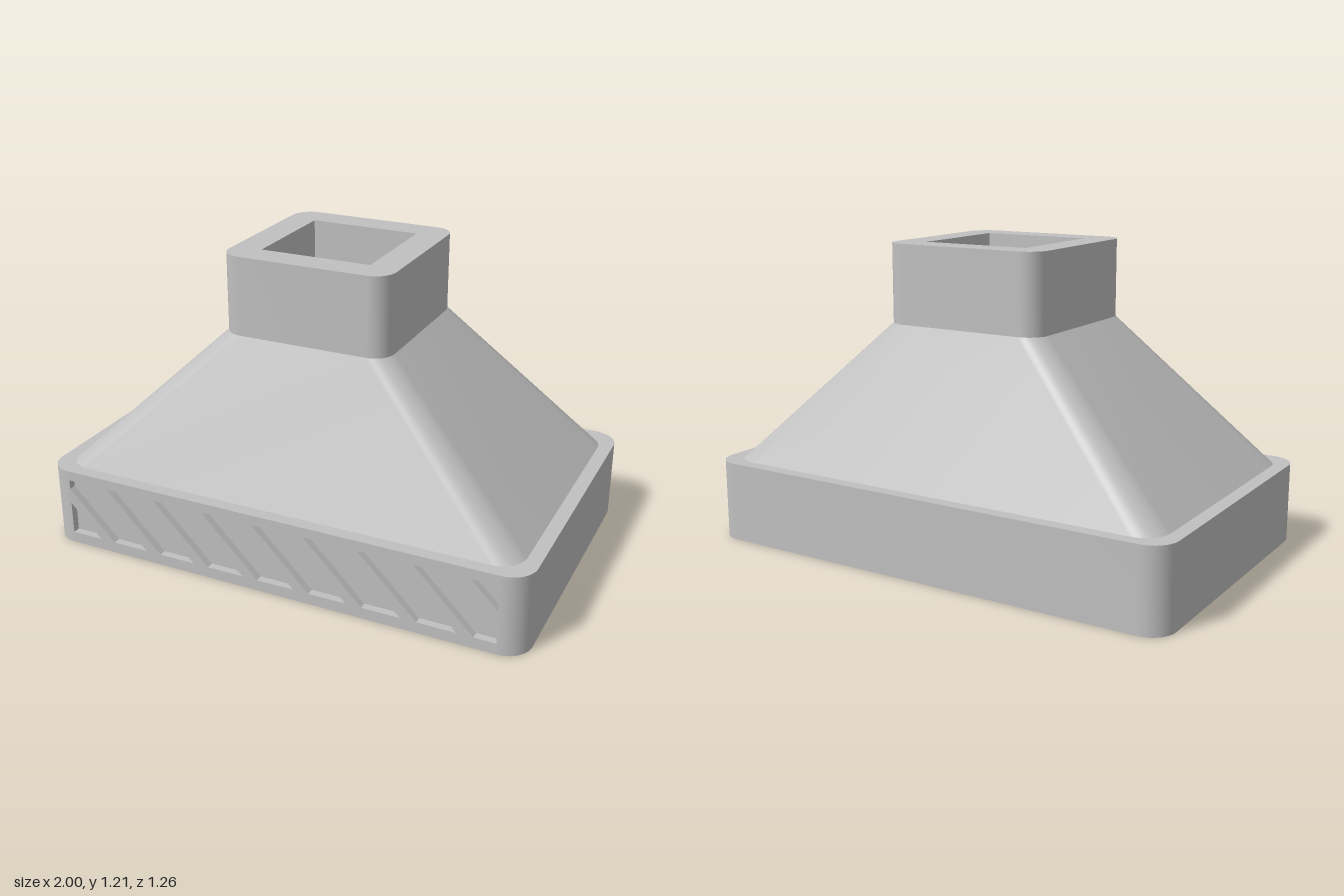
import * as THREE from 'three';
import { toCreasedNormals } from 'three/addons/utils/BufferGeometryUtils.js';

const BASE_H = 0.32, NECK_Y = 0.9, TOP_Y = 1.21;
const SLOT_DEPTH = 0.03, FRONT = 0.63;

// Rounded rectangle outline, counter-clockwise, starting at the front right corner
function outline(hx, hz, r, n = 10) {
  const pts = [];
  [[1, -1], [1, 1], [-1, 1], [-1, -1]].forEach(([sx, sy], c) => {
    for (let i = 0; i <= n; i++) {
      const a = (c - 1 + i / n) * Math.PI / 2;
      pts.push(new THREE.Vector2(sx * (hx - r) + r * Math.cos(a), sy * (hz - r) + r * Math.sin(a)));
    }
  });
  return pts;
}

// Extrude a floor-plan shape upwards
function extrudeUp(shape, y, height) {
  const g = new THREE.ExtrudeGeometry(shape, { depth: height, bevelEnabled: false });
  return toCreasedNormals(g.rotateX(-Math.PI / 2).translate(0, y, 0), 0.5);
}

// Straight-sided skin between two outlines, closed at the top
function loft(lower, y0, upper, y1) {
  const pos = [], idx = [], n = lower.length;
  lower.forEach(p => pos.push(p.x, y0, -p.y));
  upper.forEach(p => pos.push(p.x, y1, -p.y));
  pos.push(0, y1, 0);
  for (let i = 0; i < n; i++) {
    const j = (i + 1) % n;
    idx.push(i, j, n + j, i, n + j, n + i, 2 * n, n + i, n + j);
  }
  const g = new THREE.BufferGeometry();
  g.setAttribute('position', new THREE.Float32BufferAttribute(pos, 3));
  g.setIndex(idx);
  return toCreasedNormals(g.toNonIndexed(), 0.5);
}

// Cut a polygon at x = side * limit
function clip(pts, side, limit) {
  const out = [];
  pts.forEach((p, i) => {
    const q = pts[(i + 1) % pts.length];
    const dp = limit - side * p.x, dq = limit - side * q.x;
    if (dp >= 0) out.push(p);
    if (dp * dq < 0) out.push(p.clone().lerp(q, dp / (dp - dq)));
  });
  return out;
}

export function createModel() {
  const group = new THREE.Group();
  const grey = new THREE.MeshStandardMaterial({ color: 0xc0c0c0 });
  grey.name = 'light grey';
  const add = (name, geometry) => {
    const mesh = new THREE.Mesh(geometry, grey);
    mesh.name = name;
    group.add(mesh);
  };

  // Base rim, with a shallow front recess behind the grille
  const rim = outline(1, FRONT, 0.1);
  rim.push(new THREE.Vector2(-0.9, SLOT_DEPTH - FRONT), new THREE.Vector2(0.9, SLOT_DEPTH - FRONT));
  add('baseRim', extrudeUp(new THREE.Shape(rim), 0, BASE_H));

  // Front grille with diagonal slots
  const plate = new THREE.Shape([[-0.9, 0], [0.9, 0], [0.9, BASE_H], [-0.9, BASE_H]]
    .map(([x, y]) => new THREE.Vector2(x, y)));
  const lo = 0.045, hi = 0.28, slotWidth = 0.152, pitch = 0.216;
  for (let k = -2; k <= 7; k++) {
    const x = -0.719 + k * pitch, shift = hi - lo;
    let slot = [[x, hi], [x + shift, lo], [x + shift + slotWidth, lo], [x + slotWidth, hi]]
      .map(([px, py]) => new THREE.Vector2(px, py));
    slot = clip(clip(slot, 1, 0.897), -1, 0.897);
    if (slot.length > 2) plate.holes.push(new THREE.Path(slot));
  }
  const grille = new THREE.ExtrudeGeometry(plate, { depth: SLOT_DEPTH, bevelEnabled: false });
  add('frontGrille', grille.translate(0, 0, FRONT - SLOT_DEPTH));

  // Sloping hood
  add('hood', loft(outline(0.945, 0.578, 0.1), BASE_H, outline(0.34, 0.34, 0.08), NECK_Y));

  // Square duct with an open top
  const duct = new THREE.Shape(outline(0.34, 0.34, 0.08));
  duct.holes.push(new THREE.Path([[-1, -1], [-1, 1], [1, 1], [1, -1]]
    .map(([x, y]) => new THREE.Vector2(x * 0.222, y * 0.222))));
  add('duct', extrudeUp(duct, NECK_Y, TOP_Y - NECK_Y));

  return group;
}
